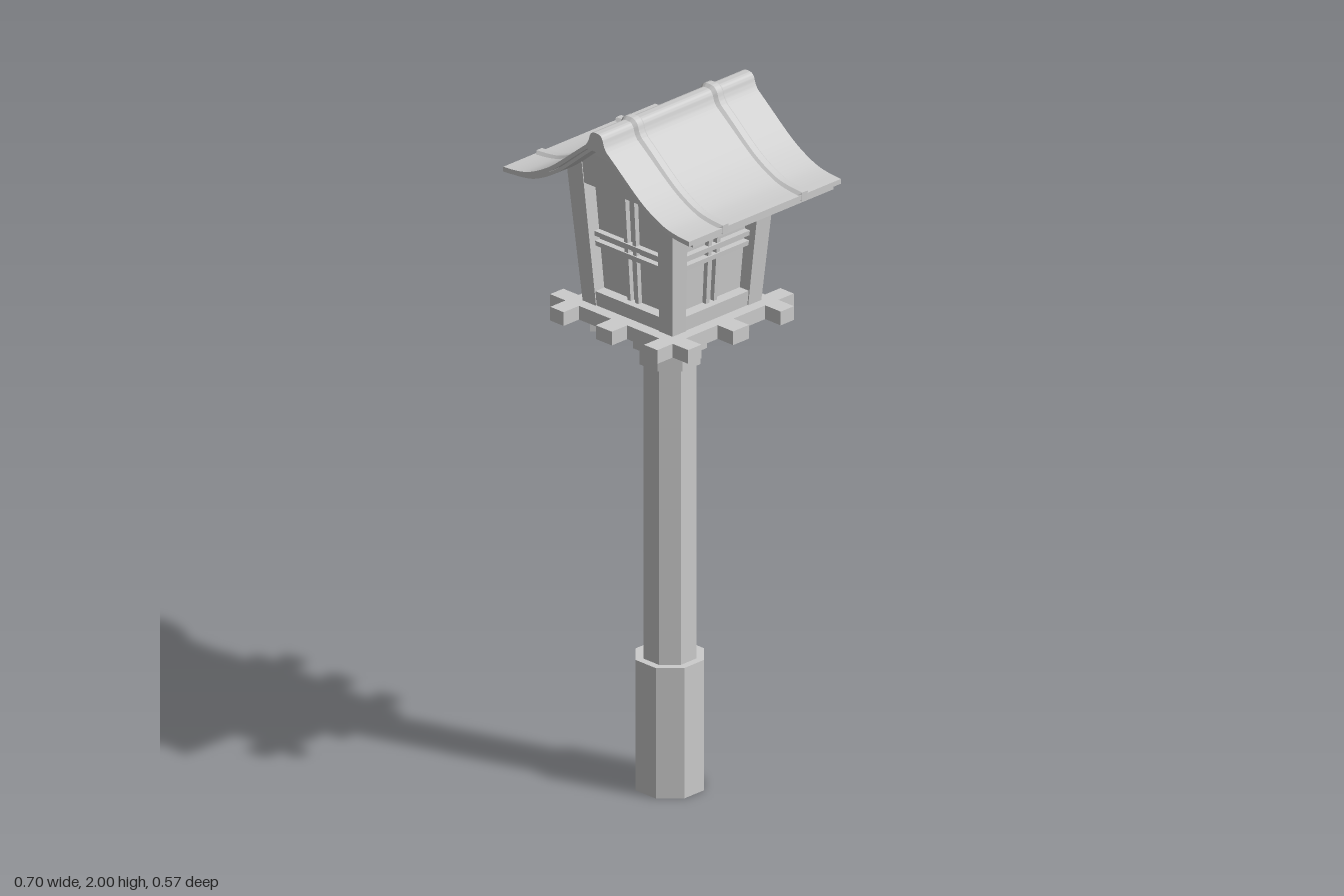
import * as THREE from 'three';
import { toCreasedNormals } from 'three/addons/utils/BufferGeometryUtils.js';

const mat = new THREE.MeshStandardMaterial({ color: 0xcccccc });
const flat = new THREE.MeshStandardMaterial({ color: 0xcccccc, flatShading: true });

// Roof slope, right half, from the ridge to the eave
const slope = new THREE.SplineCurve([
  [0, 1.968], [0.03, 1.953], [0.07, 1.922], [0.15, 1.857],
  [0.2, 1.824], [0.254, 1.799], [0.3, 1.789], [0.347, 1.785],
].map(p => new THREE.Vector2(...p))).getPoints(28);

function roofY(x) {
  x = Math.abs(x);
  for (let i = 1; i < slope.length; i++) {
    const a = slope[i - 1], b = slope[i];
    if (x <= b.x) return a.y + (b.y - a.y) * (x - a.x) / (b.x - a.x);
  }
  return 1.785;
}

const mirrorPts = half => [...half.slice(1).reverse().map(p => new THREE.Vector2(-p.x, p.y)), ...half];

// Extrusion centred on z = 0
function extrude(points, depth, bevel) {
  const opts = bevel
    ? { depth: depth - 2 * bevel, bevelEnabled: true, bevelThickness: bevel, bevelSize: 0.008, bevelSegments: 1 }
    : { depth, bevelEnabled: false };
  const g = new THREE.ExtrudeGeometry(new THREE.Shape(points), opts);
  g.translate(0, 0, -(bevel ? depth - 2 * bevel : depth) / 2);
  return toCreasedNormals(g, 0.5);
}

// Curved sheet between two depths below the roof slope
function sheet(top, bottom, xMax, depth, bevel) {
  const line = mirrorPts(slope.map(p => new THREE.Vector2(p.x * xMax / 0.347, p.y)));
  const upper = line.map(p => new THREE.Vector2(p.x, p.y - top));
  const lower = line.map(p => new THREE.Vector2(p.x, p.y - bottom)).reverse();
  return extrude([...lower, ...upper], depth, bevel);
}

// The lamp house widens upwards; its tops follow the roof underside
const widen = y => 1 + (Math.min(y, 1.85) - 1.415) * 0.45;
function taper(g) {
  const p = g.attributes.position;
  for (let i = 0; i < p.count; i++) {
    let y = p.getY(i);
    y = Math.min(y, roofY(p.getX(i) * widen(y)) - 0.018);
    const s = widen(y);
    p.setXYZ(i, p.getX(i) * s, y, p.getZ(i) * s);
  }
  return g;
}

function box(x0, x1, y0, y1, z0, z1) {
  const g = new THREE.BoxGeometry(x1 - x0, y1 - y0, z1 - z0);
  return g.translate((x0 + x1) / 2, (y0 + y1) / 2, (z0 + z1) / 2);
}

export function createModel() {
  const root = new THREE.Group();
  const add = (name, geo, parent = root, m = flat) => {
    const mesh = new THREE.Mesh(geo, m);
    mesh.name = name;
    parent.add(mesh);
    return mesh;
  };
  const group = name => {
    const g = new THREE.Group();
    g.name = name;
    root.add(g);
    return g;
  };

  // Octagonal post with foot and stepped capital
  const post = group('post');
  post.position.x = -0.008;
  for (const [name, half, y0, y1] of [
    ['foot', 0.091, 0, 0.38], ['shaft', 0.07, 0.38, 1.24],
    ['lowerCapital', 0.081, 1.24, 1.29], ['upperCapital', 0.098, 1.29, 1.333],
    ['neck', 0.07, 1.333, 1.38],
  ]) {
    const r = half / Math.cos(Math.PI / 8);
    const g = new THREE.CylinderGeometry(r, r, y1 - y0, 8).rotateY(Math.PI / 8);
    add(name, g.translate(0, (y0 + y1) / 2, 0), post);
  }

  // Diagonal bracket arms
  for (let i = 0; i < 4; i++) {
    add('bracketArm', box(0, 0.212, 1.333, 1.376, -0.028, 0.028), post).rotation.y = Math.PI / 4 + i * Math.PI / 2;
  }

  // Platform with crossing beam ends
  const platform = group('platform');
  add('platformPlate', box(-0.2, 0.2, 1.375, 1.413, -0.2, 0.2), platform);
  for (const [c, w] of [[-0.175, 0.05], [0, 0.06], [0.175, 0.05]]) {
    add('beamAlongX', box(-0.258, 0.258, 1.374, 1.414, c - w / 2, c + w / 2), platform);
    add('beamAlongZ', box(c - w / 2, c + w / 2, 1.374, 1.414, -0.258, 0.258), platform);
  }

  // Lamp house: core panes, corner posts, then rails and bars on each side
  const house = group('lampHouse');
  add('panes', taper(box(-0.132, 0.132, 1.413, 1.8, -0.132, 0.132)), house);
  for (const sx of [-1, 1]) for (const sz of [-1, 1]) {
    const x = sx * 0.143, z = sz * 0.143;
    add('cornerPost', taper(box(x - 0.025, x + 0.025, 1.413, 1.87, z - 0.025, z + 0.025)), house);
  }
  for (let side = 0; side < 4; side++) {
    const part = (name, ...b) => add(name, taper(box(...b).rotateY(side * Math.PI / 2)), house);
    part('sill', -0.12, 0.12, 1.413, 1.456, 0.12, 0.165);
    if (side % 2) part('header', -0.12, 0.12, 1.757, 1.815, 0.12, 0.165);
    for (const s of [-1, 1]) {
      const c = s * 0.0145;
      part('uprightBar', c - 0.006, c + 0.006, 1.45, 1.78, 0.13, 0.145);
      part('crossBar', -0.12, 0.12, 1.6 + c - 0.001, 1.614 + c - 0.001, 0.13, 0.149);
    }
  }

  // Gable panels front and back, filling up to the roof
  const gableTop = [];
  for (let i = 0; i <= 16; i++) {
    const x = 0.145 - 0.29 * i / 16, y = roofY(x) - 0.018;
    gableTop.push(new THREE.Vector2(x / widen(y), y));
  }
  const gablePts = [new THREE.Vector2(-0.122, 1.775), new THREE.Vector2(0.122, 1.775), ...gableTop];
  for (const s of [-1, 1]) {
    const g = extrude(gablePts, 0.04).translate(0, 0, s * 0.146);
    add('gable', taper(g), house);
  }

  // Roof: two curved layers, ridge cap and two raised bands
  const roof = group('roof');
  add('roofSheet', sheet(0, 0.014, 0.347, 0.574), roof, mat);
  add('roofUnderlayer', sheet(0.013, 0.025, 0.341, 0.532), roof, mat);
  const cap = new THREE.SplineCurve([
    [0, 1.992], [0.014, 1.99], [0.023, 1.98], [0.03, 1.96], [0.046, 1.937],
  ].map(p => new THREE.Vector2(...p))).getPoints(16);
  add('ridgeCap', extrude(mirrorPts(cap), 0.574), roof, mat);
  for (const z of [-0.15, 0.15]) {
    add('roofBand', sheet(0, 0.01, 0.34, 0.04, 0.01).translate(0, 0, z), roof, mat);
    add('ridgeBand', extrude(mirrorPts(cap), 0.04, 0.01).translate(0, 0, z), roof, mat);
  }
  return root;
}
